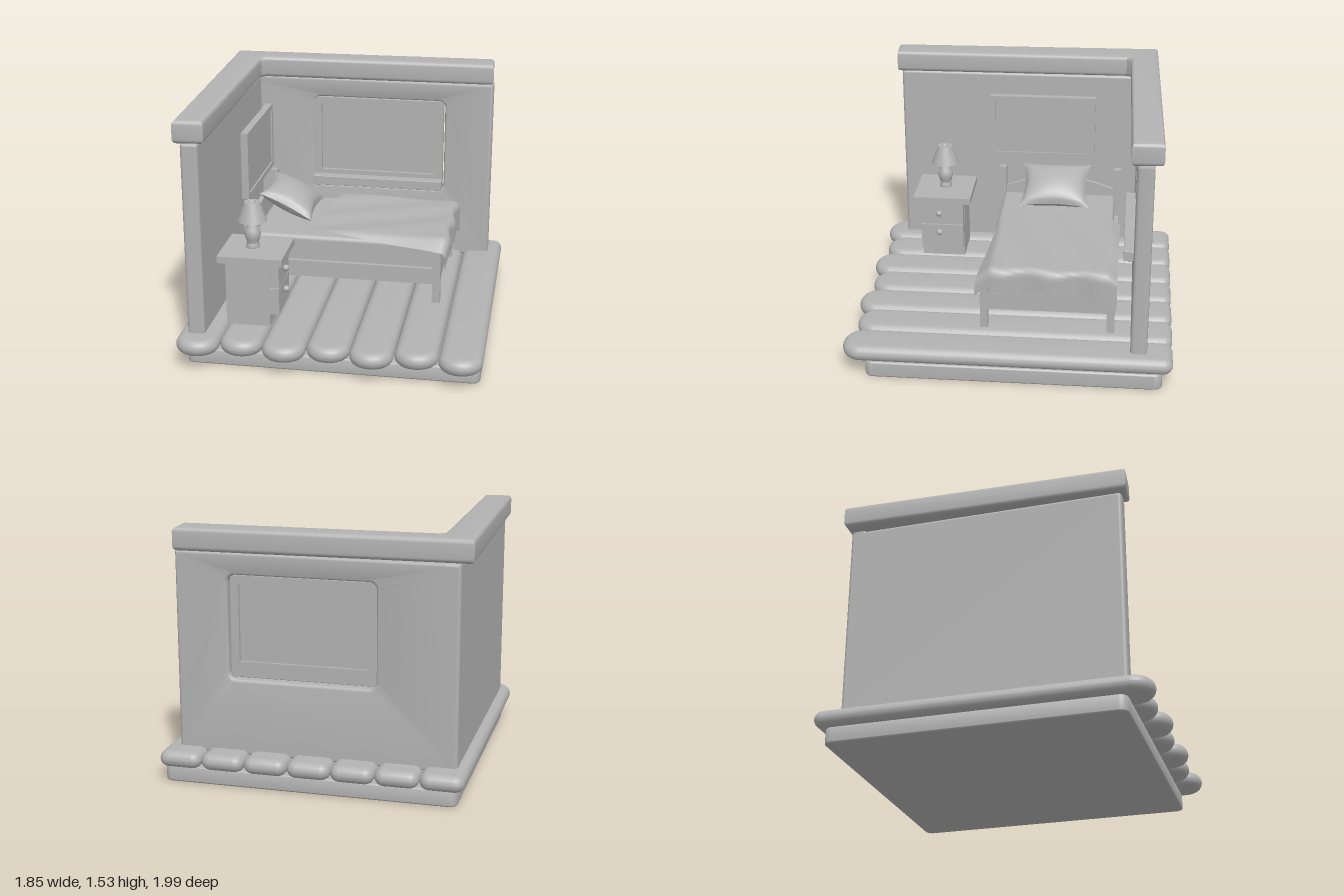
import * as THREE from 'three';
import { toCreasedNormals } from 'three/addons/utils/BufferGeometryUtils.js';
import { RoundedBoxGeometry } from 'three/addons/geometries/RoundedBoxGeometry.js';

const clay = new THREE.MeshStandardMaterial({ color: 0xb2b2b2 });
clay.name = 'clay grey';
const cloth = new THREE.MeshStandardMaterial({ color: 0xb2b2b2, side: THREE.DoubleSide });
cloth.name = 'cloth grey';

function add(parent, name, geometry, material = clay) {
  const mesh = new THREE.Mesh(geometry, material);
  mesh.name = name;
  parent.add(mesh);
  return mesh;
}

// Box given by its limits on each axis, with optional rounded edges
function box(parent, name, [x0, x1], [y0, y1], [z0, z1], r = 0) {
  const s = [x1 - x0, y1 - y0, z1 - z0];
  const g = r ? new RoundedBoxGeometry(...s, 3, r) : new THREE.BoxGeometry(...s);
  g.translate((x0 + x1) / 2, (y0 + y1) / 2, (z0 + z1) / 2);
  return add(parent, name, g);
}

// Plan outline (x, z) raised from y0 to y1 with a rounded edge
function slab(shape, y0, y1, bevel, offset) {
  const g = new THREE.ExtrudeGeometry(shape, {
    depth: y1 - y0 - 2 * bevel, bevelThickness: bevel, bevelSize: bevel,
    bevelOffset: offset, bevelSegments: 5, curveSegments: 10,
  });
  g.rotateX(Math.PI / 2).translate(0, y1 - bevel, 0);
  return toCreasedNormals(g, 0.7);
}

function roundRect(path, x0, x1, y0, y1, r) {
  path.moveTo(x0 + r, y0);
  path.absarc(x1 - r, y0 + r, r, -Math.PI / 2, 0);
  path.absarc(x1 - r, y1 - r, r, 0, Math.PI / 2);
  path.absarc(x0 + r, y1 - r, r, Math.PI / 2, Math.PI);
  path.absarc(x0 + r, y0 + r, r, Math.PI, Math.PI * 1.5);
  return path;
}

// Flat rectangular border in the XY plane, from z = 0 to depth
function border(x0, x1, y0, y1, w, depth) {
  const s = new THREE.Shape([[x0, y0], [x1, y0], [x1, y1], [x0, y1]].map(p => new THREE.Vector2(...p)));
  s.holes.push(new THREE.Path([[x0 + w, y0 + w], [x0 + w, y1 - w], [x1 - w, y1 - w], [x1 - w, y0 + w]]
    .map(p => new THREE.Vector2(...p))));
  return new THREE.ExtrudeGeometry(s, { depth, bevelEnabled: false });
}

function buildFloor(room) {
  const base = roundRect(new THREE.Shape(), -0.855, 0.9, -0.93, 0.835, 0.04);
  add(room, 'foundation', slab(base, 0, 0.1, 0.01, 0));
  // Planks alternate in length and have rounded front ends
  for (let i = 0; i < 7; i++) {
    const x = -0.782 + i * 0.263, w = 0.081, front = i % 2 ? 0.95 : 0.99;
    const s = new THREE.Shape();
    s.moveTo(x - w + 0.01, -0.95);
    s.absarc(x + w - 0.01, -0.94, 0.01, -Math.PI / 2, 0);
    s.absellipse(x, front - 0.12, w, 0.07, 0, Math.PI);
    s.absarc(x - w + 0.01, -0.94, 0.01, Math.PI, Math.PI * 1.5);
    add(room, 'floorPlank', slab(s, 0.1, 0.2, 0.049, 0));
  }
}

function buildWalls(room) {
  box(room, 'leftWall', [-0.85, -0.745], [0.17, 1.39], [-0.845, 0.85], 0.02);
  // Back wall with a soft-edged window opening
  const wall = new THREE.Shape([[-0.85, 0.17], [0.84, 0.17], [0.84, 1.39], [-0.85, 1.39]]
    .map(p => new THREE.Vector2(...p)));
  wall.holes.push(roundRect(new THREE.Path(), -0.37, 0.52, 0.635, 1.26, 0.045));
  const g = new THREE.ExtrudeGeometry(wall, {
    depth: 0.06, bevelThickness: 0.02, bevelSize: 0.02, bevelOffset: -0.02, bevelSegments: 4, curveSegments: 8,
  });
  add(room, 'backWall', toCreasedNormals(g.translate(0, 0, -0.825), 0.7));
  // Hand-cut capping along both walls
  const cap = new THREE.Shape([[-0.925, -0.865], [0.83, -0.895], [0.84, -0.71], [-0.69, -0.69],
    [-0.72, -0.66], [-0.7, 0.87], [-0.88, 0.885]].map(p => new THREE.Vector2(...p)));
  add(room, 'wallCapping', slab(cap, 1.395, 1.535, 0.028, -0.028));

  // Window
  add(room, 'windowFrame', border(-0.375, 0.51, 0.69, 1.255, 0.05, 0.07).translate(0, 0, -0.82));
  box(room, 'windowPane', [-0.33, 0.465], [0.735, 1.21], [-0.8, -0.775]);
  box(room, 'windowSill', [-0.375, 0.51], [0.645, 0.71], [-0.82, -0.685], 0.004);

  // Picture facing +x
  const picture = new THREE.Group();
  picture.name = 'picture';
  add(picture, 'pictureFrame', border(-0.235, 0.465, 0.85, 1.275, 0.03, 0.045).rotateY(Math.PI / 2).translate(-0.647, 0, 0));
  box(picture, 'pictureCanvas', [-0.642, -0.612], [0.87, 1.255], [-0.445, 0.215]);
  room.add(picture);
}

function buildBed(room) {
  const bed = new THREE.Group();
  bed.name = 'bed';
  for (const [z0, z1] of [[0.13, 0.177], [-0.645, -0.597]]) {
    box(bed, 'headPost', [-0.655, -0.608], [0.2, 0.765], [z0, z1]);
    box(bed, 'footPost', [0.55, 0.6], [0.2, 0.54], [z0, z1]);
    box(bed, 'sideRail', [-0.61, 0.55], [0.325, 0.43], [z0 + 0.006, z1 - 0.006]);
  }
  box(bed, 'footRail', [0.557, 0.592], [0.325, 0.43], [-0.6, 0.135]);
  // Arched headboard
  const s = new THREE.Shape();
  s.moveTo(-0.14, 0.325);
  s.lineTo(0.6, 0.325);
  s.lineTo(0.6, 0.62);
  s.quadraticCurveTo(0.23, 0.78, -0.14, 0.62);
  const head = new THREE.ExtrudeGeometry(s, { depth: 0.03, bevelEnabled: false });
  add(bed, 'headboard', head.rotateY(Math.PI / 2).translate(-0.645, 0, 0));
  box(bed, 'mattress', [-0.608, 0.59], [0.4, 0.59], [-0.61, 0.145], 0.03);

  // Blanket: a sheet laid over the mattress and falling over the foot end
  const sheet = new THREE.PlaneGeometry(1, 1, 48, 40), p = sheet.attributes.position;
  for (let i = 0; i < p.count; i++) {
    const u = p.getX(i) + 0.5, v = 0.5 - p.getY(i);
    const x0 = THREE.MathUtils.lerp(-0.14, -0.27, v);
    const drop = THREE.MathUtils.lerp(0.21, 0.1, v);
    const along = x0 + u * (0.62 - x0 + drop);
    const r = 0.04, turn = THREE.MathUtils.clamp((along - 0.6) / r, 0, Math.PI / 2);
    const fall = Math.max(0, along - 0.6 - r * Math.PI / 2);
    const zEnd = THREE.MathUtils.lerp(0.1, 0.21, u);
    const z = THREE.MathUtils.lerp(-0.655, zEnd, v);
    const x = Math.min(along, 0.6) + r * Math.sin(turn) + 0.012 * Math.sin(v * 17) * turn / 1.57;
    const side = Math.max(0, z - 0.11) * 0.9 + Math.max(0, -0.6 - z) * 0.7;
    const fold = 0.009 * Math.sin(u * 6 + v * 9) * Math.sin(v * 5 + u * 3);
    p.setXYZ(i, x, 0.618 + fold * (1 - turn / 1.57) - r * (1 - Math.cos(turn)) - fall - side, z);
  }
  sheet.computeVertexNormals();
  add(bed, 'blanket', sheet, cloth);

  // Pillow: puffed in the middle, drawn out at the corners
  const puff = new THREE.BoxGeometry(2, 2, 2, 24, 1, 24), q = puff.attributes.position;
  for (let i = 0; i < q.count; i++) {
    const a = q.getX(i), b = q.getY(i), c = q.getZ(i);
    const full = Math.pow(Math.max(0, (1 - a * a) * (1 - c * c)), 0.5);
    q.setXYZ(i, a * 0.19 * (1 - 0.14 * (1 - c * c)), b * 0.085 * full, c * 0.23 * (1 - 0.13 * (1 - a * a)));
  }
  puff.computeVertexNormals();
  const pillow = add(bed, 'pillow', puff);
  pillow.position.set(-0.42, 0.725, -0.215);
  pillow.rotation.z = -0.46;
  room.add(bed);
}

function buildNightstand(room) {
  const stand = new THREE.Group();
  stand.name = 'nightstand';
  box(stand, 'cabinet', [-0.65, -0.38], [0.2, 0.612], [0.395, 0.68]);
  box(stand, 'tableTop', [-0.69, -0.293], [0.612, 0.655], [0.345, 0.725]);
  for (const [y0, y1, knobY] of [[0.28, 0.447, 0.4], [0.453, 0.61, 0.538]]) {
    box(stand, 'drawer', [-0.385, -0.322], [y0, y1], [0.397, 0.678]);
    add(stand, 'drawerKnob', new THREE.SphereGeometry(0.021, 16, 12).translate(-0.304, knobY, 0.555));
  }
  room.add(stand);

  // Table lamp
  const lamp = new THREE.Group();
  lamp.name = 'lamp';
  lamp.position.set(-0.51, 0.655, 0.535);
  const vase = [[0, 0], [0.04, 0], [0.042, 0.015], [0.034, 0.03], [0.042, 0.055], [0.051, 0.085],
    [0.045, 0.115], [0.03, 0.14], [0.024, 0.165], [0.02, 0.2], [0, 0.2]];
  add(lamp, 'lampBase', toCreasedNormals(new THREE.LatheGeometry(vase.map(v => new THREE.Vector2(...v)), 24), 0.8));
  const shade = [[0.09, 0.172], [0.047, 0.292], [0.025, 0.292], [0.02, 0.28], [0, 0.28]];
  add(lamp, 'lampShade', toCreasedNormals(new THREE.LatheGeometry(shade.map(v => new THREE.Vector2(...v)), 28), 0.6), cloth);
  room.add(lamp);
}

export function createModel() {
  const room = new THREE.Group();
  room.name = 'bedroomCorner';
  buildFloor(room);
  buildWalls(room);
  buildBed(room);
  buildNightstand(room);
  return room;
}
